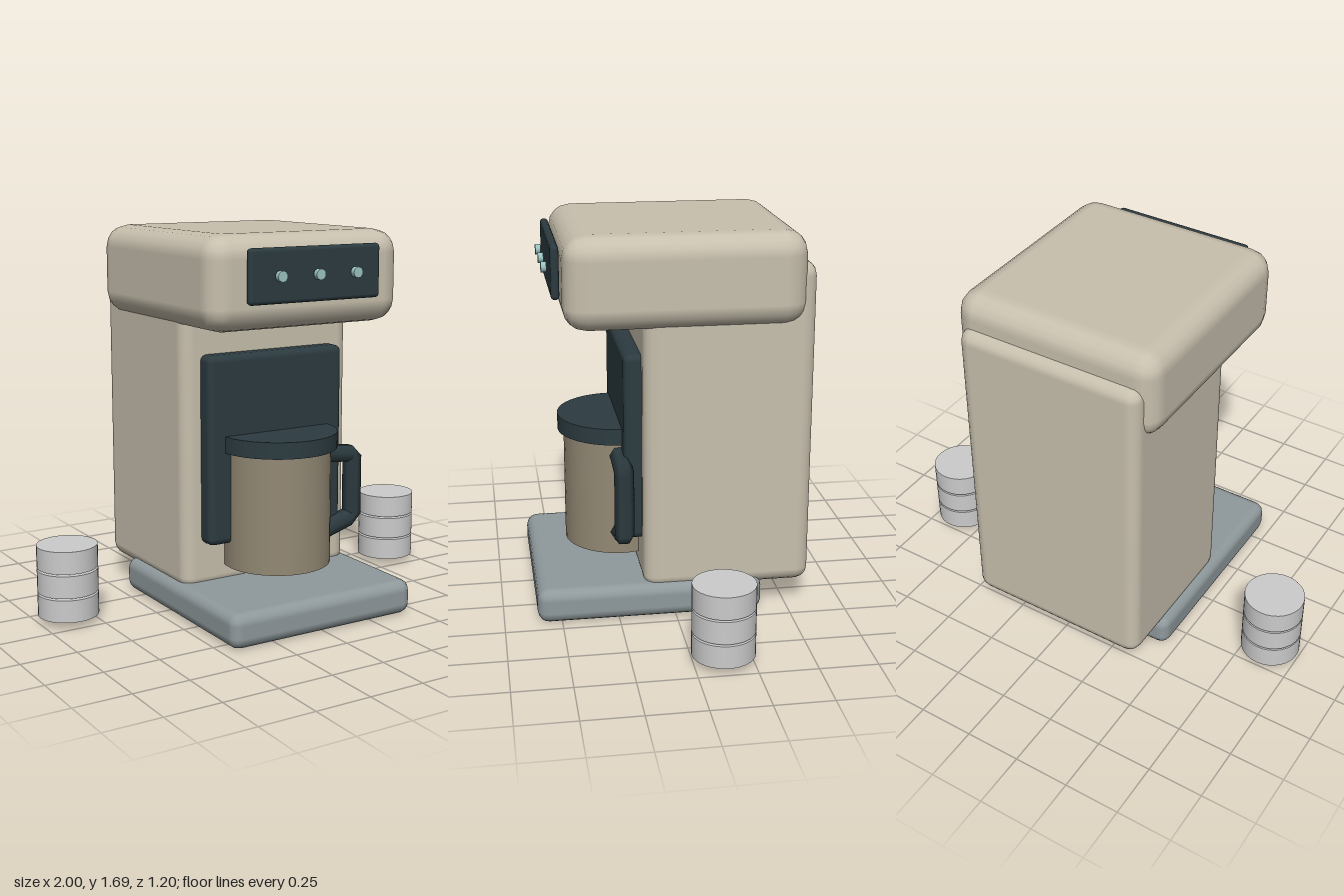
import * as THREE from 'three';
import { RoundedBoxGeometry } from 'three/addons/geometries/RoundedBoxGeometry.js';

const material = (color) => new THREE.MeshStandardMaterial({ color });

export function createModel() {
  const model = new THREE.Group();
  model.name = 'coffeeMaker';
  const beige = material(0xc8c0ae);
  const dark = material(0x2c3b40);
  const slate = material(0x8f999c);
  const brown = material(0x938974);
  const teal = material(0x9cc4c4);
  const grey = material(0xcccccc);

  const add = (name, geometry, mat, x, y, z, parent = model) => {
    const mesh = new THREE.Mesh(geometry, mat);
    mesh.name = name;
    mesh.position.set(x, y, z);
    parent.add(mesh);
    return mesh;
  };
  // Rounded block given by its extents in x (mirrored), y and z
  const block = (name, mat, halfX, y0, y1, z0, z1, radius) =>
    add(name, new RoundedBoxGeometry(halfX * 2, y1 - y0, z1 - z0, 2, radius), mat,
      0, (y0 + y1) / 2, (z0 + z1) / 2);

  // Housing
  block('base', slate, 0.462, 0, 0.155, -0.383, 0.605, 0.05);
  block('body', beige, 0.43, 0.115, 1.555, -0.6, 0.137, 0.06);
  block('head', beige, 0.478, 1.29, 1.69, -0.557, 0.467, 0.1);
  block('backPlate', dark, 0.345, 0.33, 1.165, 0.1, 0.212, 0.03);
  block('controlPanel', dark, 0.325, 1.407, 1.637, 0.471, 0.507, 0.017);

  // Buttons
  for (const x of [-0.187, 0, 0.187]) {
    const button = add('button', new THREE.CylinderGeometry(0.023, 0.023, 0.023, 16), teal, x, 1.522, 0.527);
    button.rotation.x = Math.PI / 2;
  }

  // Carafe
  const carafe = new THREE.Group();
  carafe.name = 'carafe';
  carafe.position.z = 0.205;
  model.add(carafe);
  add('carafeJug', new THREE.CylinderGeometry(0.24, 0.24, 0.52, 40), brown, 0, 0.48, 0, carafe);
  add('carafeLid', new THREE.CylinderGeometry(0.267, 0.267, 0.073, 40), dark, 0, 0.777, 0, carafe);

  // Angular handle: hexagonal bar following straight runs
  const path = new THREE.CurvePath();
  const corners = [[0.22, 0.685], [0.4, 0.665], [0.4, 0.372], [0.22, 0.318]]
    .map(([x, y]) => new THREE.Vector3(x, y, 0));
  for (let i = 0; i < 3; i++) path.add(new THREE.LineCurve3(corners[i], corners[i + 1]));
  add('carafeHandle', new THREE.TubeGeometry(path, 24, 0.043, 6), dark, 0, 0, 0.015, carafe);

  // Stacks of three cups on both sides
  for (const side of [-1, 1]) {
    const stack = new THREE.Group();
    stack.name = side > 0 ? 'leftCupStack' : 'rightCupStack';
    stack.position.set(side * 0.867, 0, -0.128);
    model.add(stack);
    for (let i = 0; i < 3; i++) {
      add('cup', new THREE.CylinderGeometry(0.133, 0.133, 0.099, 32), grey, 0, 0.08 + i * 0.108, 0, stack);
    }
  }
  return model;
}
